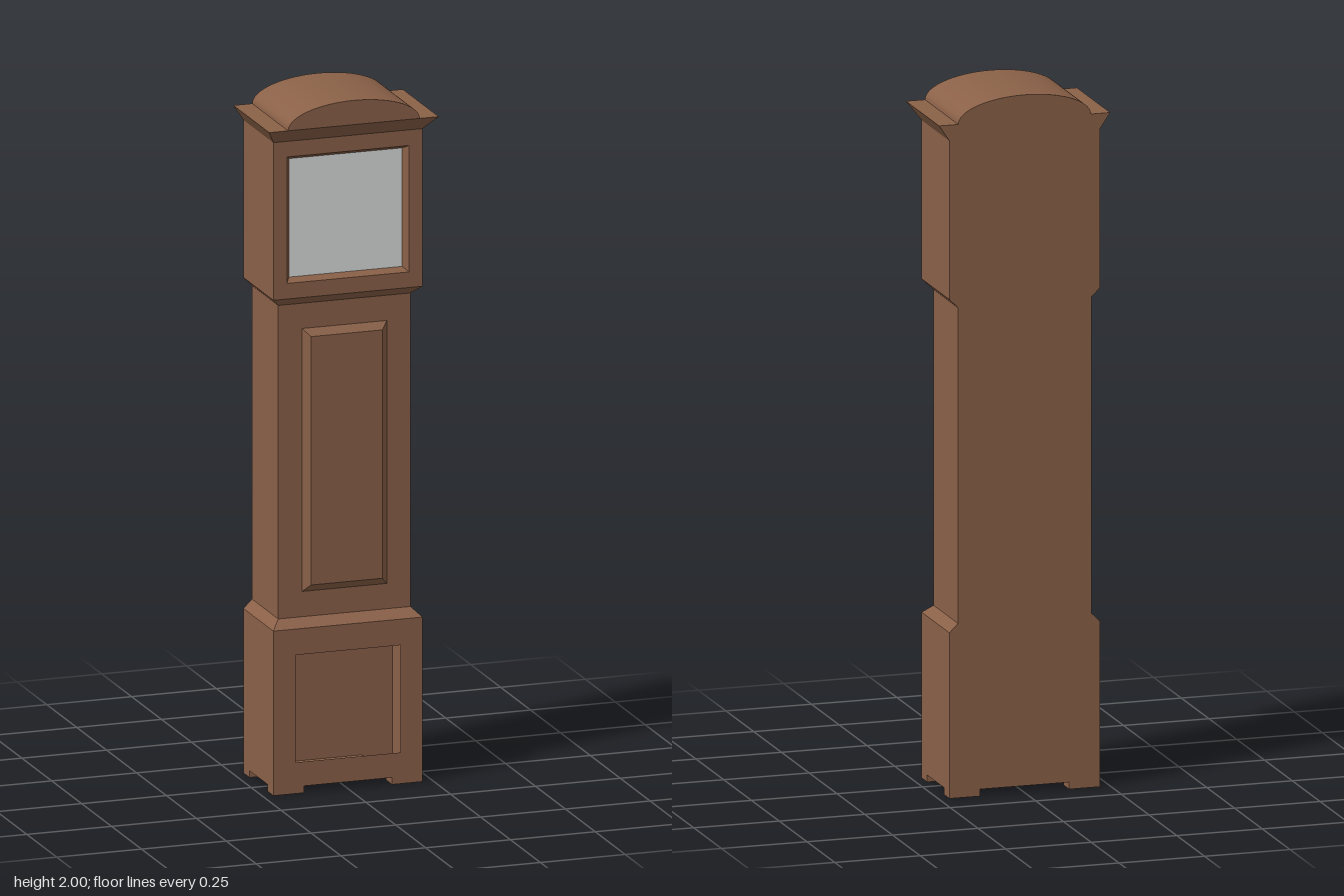
import * as THREE from 'three';
import { toCreasedNormals } from 'three/addons/utils/BufferGeometryUtils.js';

const BACK = -0.15;

// Flat quads, each given as four corners counter-clockwise from outside
function quads(list) {
  const pos = [];
  for (const [a, b, c, d] of list) pos.push(...a, ...b, ...c, ...a, ...c, ...d);
  const geo = new THREE.BufferGeometry();
  geo.setAttribute('position', new THREE.Float32BufferAttribute(pos, 3));
  geo.computeVertexNormals();
  return geo;
}

// Four corners of a rectangle facing +z
const rect = (hx, y0, y1, z) => [[-hx, y0, z], [hx, y0, z], [hx, y1, z], [-hx, y1, z]];

// Four quads joining two four-cornered loops
const band = (outer, inner) => outer.map((p, i) => {
  const j = (i + 1) % 4;
  return [p, outer[j], inner[j], inner[i]];
});

const outline = (pts) => new THREE.Shape(pts.map(([x, y]) => new THREE.Vector2(x, y)));

// Front plate with a rectangular opening
function framedPlate(hx, y0, y1, z, ox, oy0, oy1) {
  const shape = outline(rect(hx, y0, y1, 0));
  shape.holes.push(outline(rect(ox, oy0, oy1, 0).reverse()));
  return new THREE.ShapeGeometry(shape).translate(0, 0, z);
}

export function createModel() {
  const model = new THREE.Group();
  model.name = 'longcaseClock';
  const wood = new THREE.MeshStandardMaterial({ color: 0x8b6148, side: THREE.DoubleSide });
  wood.name = 'brown wood';
  const glass = new THREE.MeshStandardMaterial({ color: 0xdcdedd, side: THREE.DoubleSide });
  glass.name = 'pale glass';
  const add = (name, geo, mat = wood) => {
    const mesh = new THREE.Mesh(geo, mat);
    mesh.name = name;
    model.add(mesh);
  };

  // Hollow case: levels of [y, half width, front z], from base to cornice
  const levels = [
    [0.02, 0.22, 0.1], [0.475, 0.22, 0.1], [0.5, 0.195, 0.07], [1.405, 0.195, 0.07],
    [1.43, 0.22, 0.1], [1.885, 0.22, 0.1], [1.93, 0.25, 0.15],
  ];
  const names = ['base', 'baseMoulding', 'trunk', 'hoodMoulding', 'hood', 'cornice'];
  names.forEach((name, i) => {
    const [y0, x0, z0] = levels[i];
    const [y1, x1, z1] = levels[i + 1];
    const faces = [
      [[x0, y0, z0], [x0, y0, BACK], [x1, y1, BACK], [x1, y1, z1]],
      [[-x0, y0, BACK], [-x0, y0, z0], [-x1, y1, z1], [-x1, y1, BACK]],
    ];
    // The base and hood have framed fronts instead
    if (name !== 'base' && name !== 'hood') {
      faces.push([[-x0, y0, z0], [x0, y0, z0], [x1, y1, z1], [-x1, y1, z1]]);
    }
    add(name, quads(faces));
  });
  add('baseFront', framedPlate(0.22, 0.02, 0.475, 0.1, 0.155, 0.09, 0.4));
  add('hoodFront', framedPlate(0.22, 1.43, 1.885, 0.1, 0.18, 1.475, 1.84));

  // Back board follows the same levels
  const right = levels.map(([y, x]) => [x, y]);
  const left = levels.map(([y, x]) => [-x, y]).reverse();
  add('backBoard', new THREE.ShapeGeometry(outline([...right, ...left])).rotateY(Math.PI).translate(0, 0, BACK));

  // Cornice top
  add('corniceTop', quads([[[-0.25, 1.93, 0.15], [0.25, 1.93, 0.15], [0.25, 1.93, BACK], [-0.25, 1.93, BACK]]]));

  // Arched crown
  const arch = new THREE.Shape();
  arch.absellipse(0, 0, 0.194, 0.07, 0, Math.PI, false);
  const crown = new THREE.ExtrudeGeometry(arch, { depth: 0.3, bevelEnabled: false, curveSegments: 40 });
  add('crown', toCreasedNormals(crown.translate(0, 1.93, BACK), 0.6));

  // Bevelled window rim and its pane
  const pane = rect(0.167, 1.487, 1.829, 0.08);
  add('windowRim', quads(band(rect(0.18, 1.475, 1.84, 0.1), pane)));
  add('windowPane', quads([pane]), glass);

  // Raised trunk door with bevelled edges
  const doorFace = rect(0.105, 0.595, 1.312, 0.09);
  add('door', quads([doorFace, ...band(rect(0.125, 0.573, 1.332, 0.07), doorFace)]));

  // Cross-shaped floor between the feet
  const floor = outline([
    [-0.13, -0.1], [0.13, -0.1], [0.13, -0.05], [0.22, -0.05], [0.22, 0.1], [0.13, 0.1],
    [0.13, 0.15], [-0.13, 0.15], [-0.13, 0.1], [-0.22, 0.1], [-0.22, -0.05], [-0.13, -0.05],
  ]);
  add('floor', new THREE.ShapeGeometry(floor).rotateX(-Math.PI / 2).translate(0, 0.02, 0));

  // Hollow corner feet, open into the case
  for (const side of [-1, 1]) {
    for (const z of [0.075, -0.125]) {
      const loop = (y) => [[-1, 1], [1, 1], [1, -1], [-1, -1]]
        .map(([u, v]) => [side * 0.175 + u * 0.045, y, z + v * 0.025]);
      const sole = loop(0);
      add((z > 0 ? 'front' : 'back') + (side > 0 ? 'Left' : 'Right') + 'Foot',
        quads([...band(sole, loop(0.02)), [...sole].reverse()]));
    }
  }
  return model;
}
